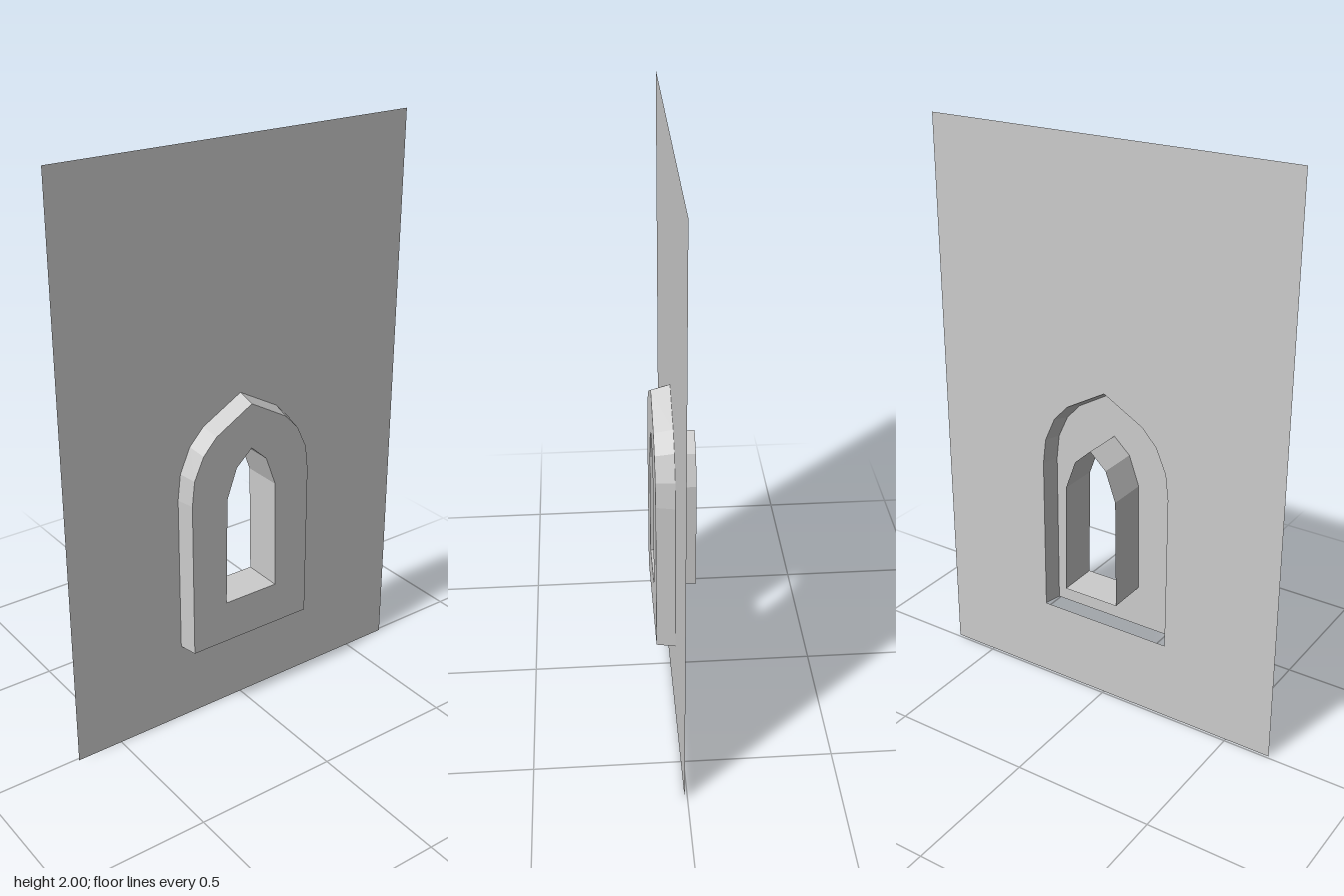
import * as THREE from 'three';

const BACK = -0.072, WALL = 0.009, FRONT = 0.072;

const material = new THREE.MeshStandardMaterial({
  color: 0xcccccc, flatShading: true, side: THREE.DoubleSide,
});

// Mirror a right-hand half outline (bottom to apex) into a full arch
function arch(half) {
  const left = half.slice(0, -1).reverse().map(([x, y]) => [-x, y]);
  return [...half, ...left].map(([x, y]) => new THREE.Vector2(x, y));
}

// Flat sheet with an arched hole
function sheet(name, outline, hole, z) {
  const shape = new THREE.Shape(outline);
  shape.holes.push(new THREE.Path(hole));
  const mesh = new THREE.Mesh(new THREE.ShapeGeometry(shape), material);
  mesh.position.z = z;
  mesh.name = name;
  return mesh;
}

// Strip of quads joining two outlines at different depths
function strip(name, a, za, b, zb, closed) {
  const pos = [];
  const count = closed ? a.length : a.length - 1;
  for (let i = 0; i < count; i++) {
    const j = (i + 1) % a.length;
    const p = [a[i].x, a[i].y, za], q = [a[j].x, a[j].y, za];
    const r = [b[j].x, b[j].y, zb], s = [b[i].x, b[i].y, zb];
    pos.push(...p, ...q, ...r, ...p, ...r, ...s);
  }
  const geo = new THREE.BufferGeometry();
  geo.setAttribute('position', new THREE.Float32BufferAttribute(pos, 3));
  geo.computeVertexNormals();
  const mesh = new THREE.Mesh(geo, material);
  mesh.name = name;
  return mesh;
}

export function createModel() {
  const group = new THREE.Group();
  group.name = 'archedWindowWall';

  const wall = [[-0.665, 0], [0.665, 0], [0.665, 2], [-0.665, 2]]
    .map(([x, y]) => new THREE.Vector2(x, y));
  const outer = arch([[0.249, 0.288], [0.249, 0.85], [0.238, 0.942],
    [0.2, 1.028], [0.147, 1.085], [0, 1.168]]);
  const inner = arch([[0.236, 0.288], [0.236, 0.85], [0.226, 0.937],
    [0.19, 1.015], [0.139, 1.07], [0, 1.15]]);
  const opening = arch([[0.103, 0.44], [0.098, 0.833], [0.06, 0.938], [0, 0.993]]);

  group.add(
    sheet('wall', wall, outer, WALL),
    // Tapered sides of the raised surround, open along the bottom
    strip('surroundSides', outer, WALL, inner, FRONT, false),
    sheet('surroundFace', inner, opening, FRONT),
    // Window reveal running through to the back, including its sill
    strip('windowReveal', opening, FRONT, opening, BACK, true),
  );
  return group;
}
